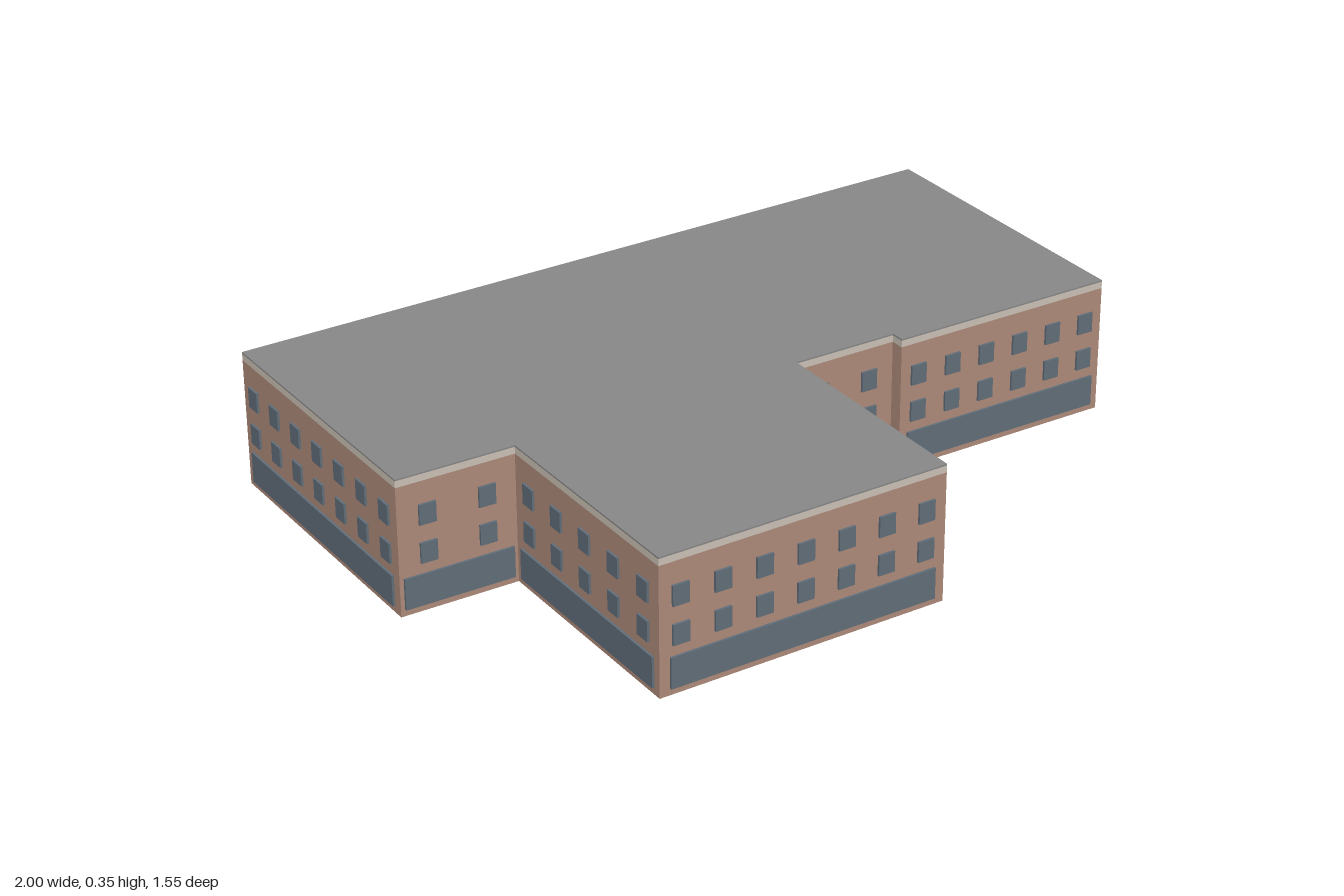
import * as THREE from 'three';

// Footprint corners [x, z], and window columns on the wall that starts at each corner
const WALLS = [
  [-1, -0.51, 18], [0.89, -0.775, 7], [0.997, 0.015, 6], [0.41, 0.09, 0],
  [0.405, 0.055, 2], [0.135, 0.09, 5], [0.212, 0.67, 7], [-0.525, 0.77, 5],
  [-0.605, 0.185, 2], [-0.9, 0.22, 7],
];
const PLATE = 0.008;

const mat = (name, color) => {
  const m = new THREE.MeshStandardMaterial({ color });
  m.name = name;
  return m;
};

export function createModel() {
  const brick = mat('brick', 0xaa8878);
  const stone = mat('stone', 0xc8beb2);
  const roofing = mat('roofing', 0x868686);
  const glass = mat('glass', 0x5f6c77);

  const building = new THREE.Group();
  building.name = 'building';

  // Stacked layers sharing one footprint
  const outline = new THREE.Shape(WALLS.map(([x, z]) => new THREE.Vector2(x, -z)));
  const layer = (name, y0, y1, material) => {
    const geo = new THREE.ExtrudeGeometry(outline, { depth: y1 - y0, bevelEnabled: false });
    geo.rotateX(-Math.PI / 2);
    geo.translate(0, y0, 0);
    const mesh = new THREE.Mesh(geo, material);
    mesh.name = name;
    building.add(mesh);
  };
  layer('brickWalls', 0, 0.325, brick);
  layer('cornice', 0.325, 0.342, stone);
  layer('roof', 0.342, 0.346, roofing);

  // Glazing on each wall: a shopfront band and two rows of windows
  const windowGeo = new THREE.BoxGeometry(0.042, 0.051, PLATE);
  WALLS.forEach(([x, z, columns], i) => {
    if (!columns) return;
    const [x2, z2] = WALLS[(i + 1) % WALLS.length];
    const length = Math.hypot(x2 - x, z2 - z);
    const facade = new THREE.Group();
    facade.name = `facade${i + 1}`;
    facade.position.set((x + x2) / 2, 0, (z + z2) / 2);
    facade.rotation.y = Math.atan2(z2 - z, x - x2);

    const shopfront = new THREE.Mesh(new THREE.BoxGeometry(length * 0.93, 0.078, PLATE), glass);
    shopfront.name = 'shopfront';
    shopfront.position.set(0, 0.056, PLATE / 2 - 0.002);
    facade.add(shopfront);

    for (const y of [0.148, 0.244]) {
      for (let c = 0; c < columns; c++) {
        const pane = new THREE.Mesh(windowGeo, glass);
        pane.name = 'window';
        pane.position.set(((c + 0.5) / columns - 0.5) * length, y, PLATE / 2 - 0.002);
        facade.add(pane);
      }
    }
    building.add(facade);
  });
  return building;
}
